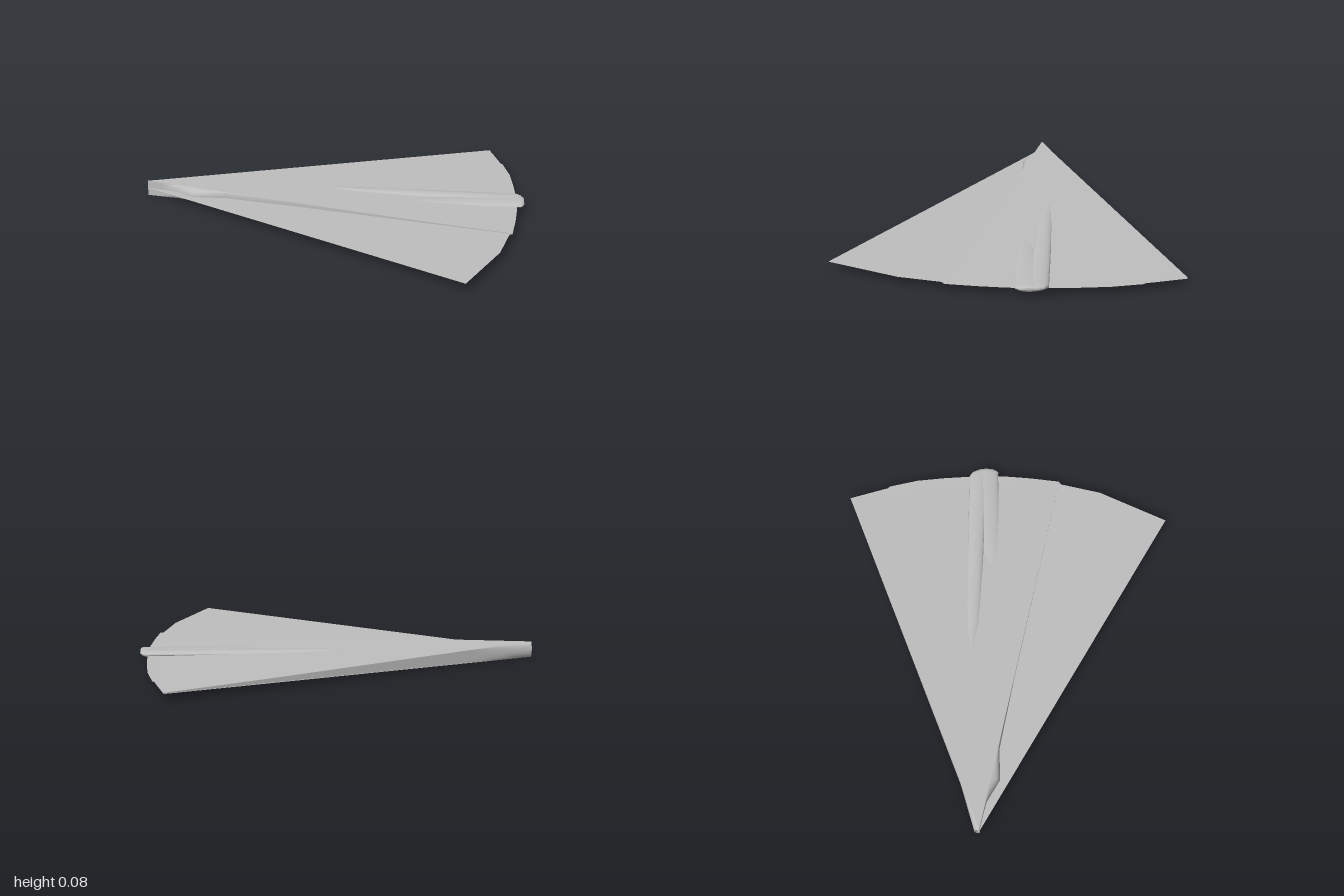
import * as THREE from 'three';

const MID = 0.043;
// half thickness of the folded wedge: deep at the nose, almost nothing at the rear
const halfHeight = (x) => Math.max(0.003, 0.041 * (1 - (x + 1) / 1.8));

// outline points as [x, z]
const NOSE = [-1, -0.14];
const rearEdge = [[0.83, -0.85], [0.89, -0.65], [0.9, -0.64], [0.935, -0.49], [0.95, -0.35],
  [0.96, -0.2], [0.965, -0.1], [0.96, 0], [0.95, 0.12], [0.93, 0.28]];
const frontRear = [[0.915, 0.29], [0.865, 0.5], [0.7, 0.85]];

// flat leaf from an outline, lifted by a rule in x
function leaf(points, height) {
  const geo = new THREE.ShapeGeometry(new THREE.Shape(points.map(([x, z]) => new THREE.Vector2(x, -z))));
  geo.rotateX(-Math.PI / 2);
  const p = geo.attributes.position;
  for (let i = 0; i < p.count; i++) p.setY(i, height(p.getX(i)));
  geo.computeVertexNormals();
  return geo;
}

// skin over equal-length rows of [x, y, z]
function loft(rows) {
  const n = rows[0].length, index = [];
  for (let i = 0; i < rows.length - 1; i++) {
    for (let j = 0; j < n - 1; j++) {
      const a = i * n + j, b = a + n;
      index.push(a, b, a + 1, b, b + 1, a + 1);
    }
  }
  const geo = new THREE.BufferGeometry();
  geo.setAttribute('position', new THREE.Float32BufferAttribute(rows.flat(2), 3));
  geo.setIndex(index);
  geo.computeVertexNormals();
  return geo;
}

// upright folded edge between the upper and lower leaf, bulging outwards by a rule
function foldWall(end, side, bulge) {
  const rows = [-1, -0.92, -0.85, -0.74, -0.65, -0.57, -0.2, 0.3, end[0]].map((x) => {
    const z = NOSE[1] + (end[1] - NOSE[1]) * (x + 1) / (end[0] + 1);
    return Array.from({ length: 9 }, (_, j) => {
      const a = Math.PI * j / 8;
      return [x, MID + Math.cos(a) * halfHeight(x), z + side * bulge(x) * Math.sin(a)];
    });
  });
  return loft(rows);
}

// tapered oval roll; stations are [x, z, half width, y, half height]
function roll(stations) {
  const rows = stations.map(([x, z, w, y, h]) => Array.from({ length: 25 }, (_, j) => {
    const a = j / 24 * Math.PI * 2;
    return [x, y + Math.sin(a) * h, z + Math.cos(a) * w];
  }));
  return loft(rows);
}

export function createModel() {
  const group = new THREE.Group();
  const grey = new THREE.MeshStandardMaterial({ color: 0xbfbfbf, side: THREE.DoubleSide });
  grey.name = 'paper grey';
  const add = (name, geo) => {
    const mesh = new THREE.Mesh(geo, grey);
    mesh.name = name;
    group.add(mesh);
  };

  // full middle sheet, and the folded leaves above and below it
  add('middleSheet', leaf([NOSE, ...rearEdge, ...frontRear], () => MID));
  add('upperLeaf', leaf([NOSE, ...rearEdge], (x) => MID + halfHeight(x)));
  add('lowerLeaf', leaf([NOSE, ...rearEdge], (x) => MID - halfHeight(x)));

  // folded edges, puffed out close to the nose
  add('backFold', foldWall(rearEdge[0], -1, (x) => 0.025 * Math.max(0, (-0.74 - x) / 0.26)));
  add('creaseFold', foldWall(rearEdge[rearEdge.length - 1], 1,
    (x) => Math.max(0, 0.045 * (1 - Math.abs(x + 0.74) / (x < -0.74 ? 0.12 : 0.2)))));

  // rolled ridges running out through the rear edge
  add('upperRoll', roll([[-0.2, -0.2, 0.002, 0.058, 0.004], [0.1, -0.18, 0.035, 0.053, 0.014],
    [0.5, -0.17, 0.042, 0.051, 0.016], [0.96, -0.16, 0.047, 0.051, 0.015], [0.985, -0.155, 0.035, 0.05, 0.012]]));
  add('lowerRoll', roll([[0, -0.045, 0.062, 0.026, 0.002], [0.22, -0.05, 0.05, 0.034, 0.018],
    [0.6, -0.1, 0.062, 0.04, 0.018], [0.96, -0.13, 0.078, 0.047, 0.017],
    [0.985, -0.12, 0.07, 0.049, 0.015], [1, -0.115, 0.042, 0.05, 0.012], [1, -0.115, 0.001, 0.05, 0.001]]));

  return group;
}
